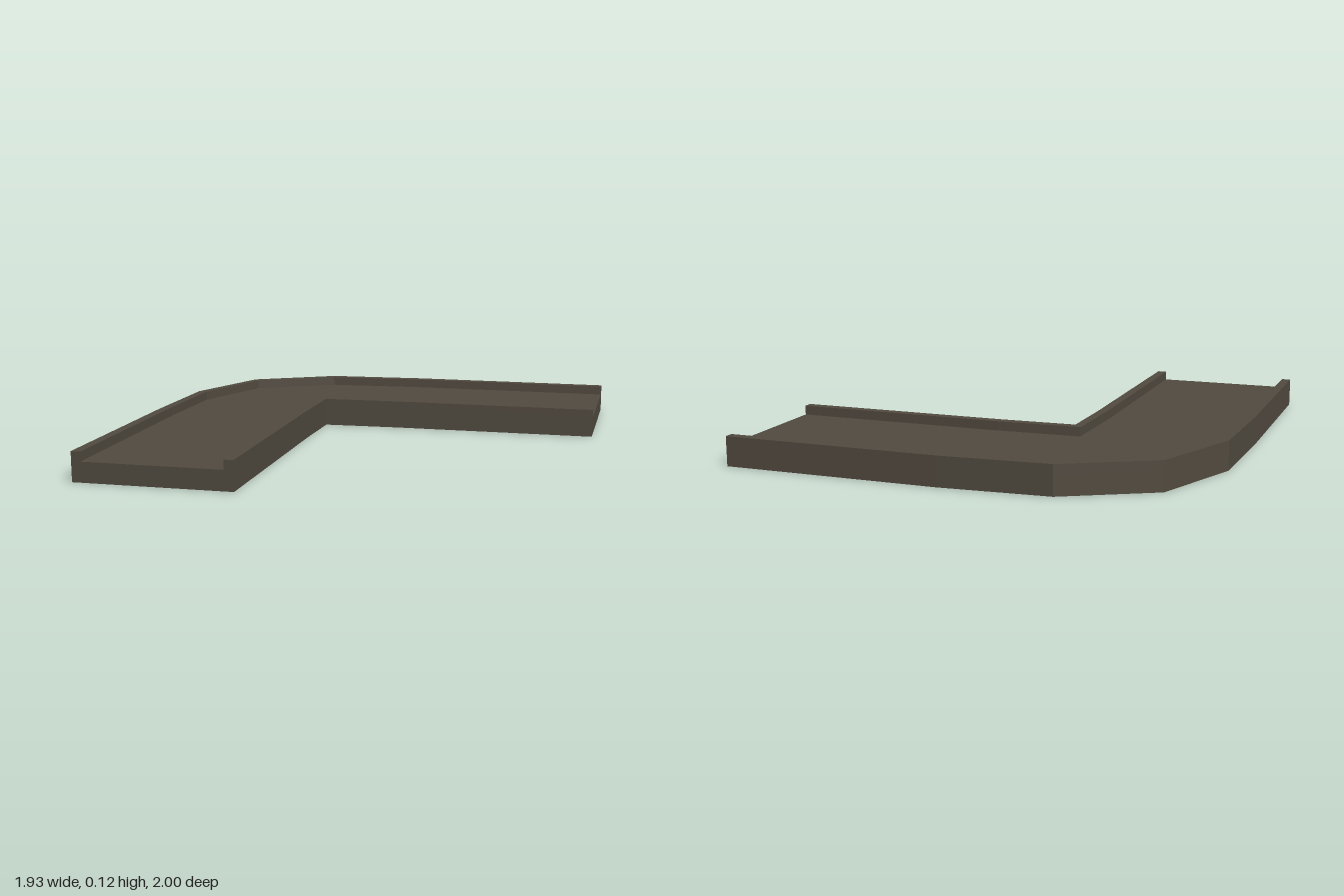
import * as THREE from 'three';

const FLOOR_TOP = 0.085;
const KERB_TOP = 0.125;

// Plan outlines as [x, z], running from the front end round the bend to the left end
const outerEdge = [[-0.965, 1], [-0.965, 0.1], [-0.95, -0.375], [-0.79, -0.77], [-0.42, -0.97], [0.04, -1], [0.965, -1]];
const outerKerbEdge = [[-0.925, 1], [-0.925, 0.05], [-0.91, -0.37], [-0.765, -0.74], [-0.41, -0.93], [0.04, -0.96], [0.965, -0.96]];
const innerKerbEdge = [[-0.335, 1], [-0.335, 0.03], [-0.323, -0.355], [0.04, -0.37], [0.965, -0.37]];
const innerEdge = [[-0.295, 1], [-0.295, -0.02], [-0.288, -0.317], [0.04, -0.329], [0.965, -0.329]];

// Solid between two plan outlines, from height y0 to y1
function slab(name, edgeA, edgeB, y0, y1, material) {
  const outline = [...edgeA, ...[...edgeB].reverse()].map(([x, z]) => new THREE.Vector2(x, -z));
  const geometry = new THREE.ExtrudeGeometry(new THREE.Shape(outline), { depth: y1 - y0, bevelEnabled: false });
  geometry.rotateX(-Math.PI / 2);
  geometry.translate(0, y0, 0);
  const mesh = new THREE.Mesh(geometry, material);
  mesh.name = name;
  return mesh;
}

export function createModel() {
  const stone = new THREE.MeshStandardMaterial({ color: 0x524b40 });
  stone.name = 'dark stone';

  const group = new THREE.Group();
  group.name = 'cornerWalkway';
  group.add(
    slab('floor', outerEdge, innerEdge, 0, FLOOR_TOP, stone),
    slab('outerKerb', outerEdge, outerKerbEdge, FLOOR_TOP, KERB_TOP, stone),
    slab('innerKerb', innerKerbEdge, innerEdge, FLOOR_TOP, KERB_TOP, stone),
  );
  return group;
}
